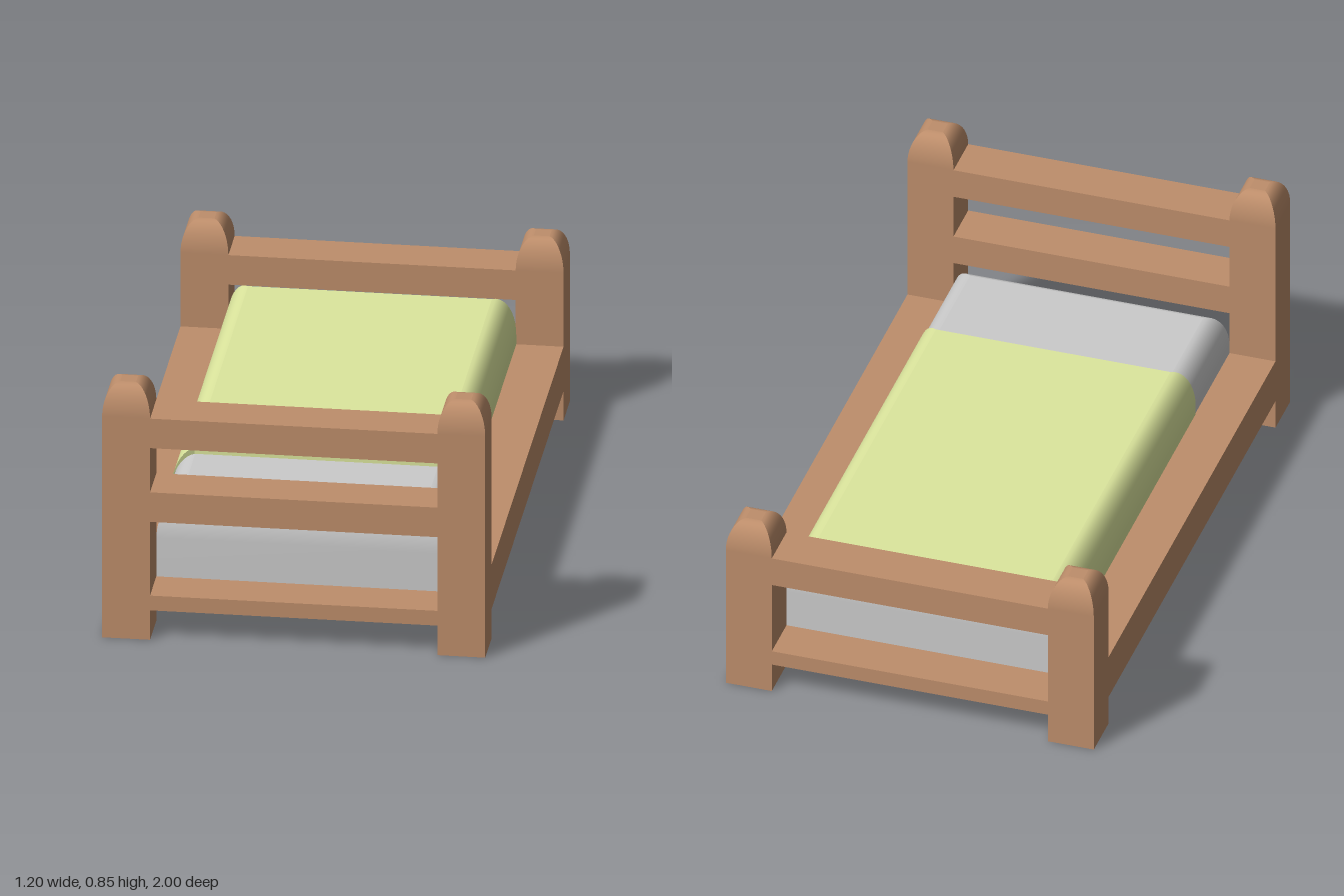
import * as THREE from 'three';
import { mergeGeometries } from 'three/addons/utils/BufferGeometryUtils.js';

const wood = new THREE.MeshStandardMaterial({ color: 0xbe8e6b });
const grey = new THREE.MeshStandardMaterial({ color: 0xcccccc });
const green = new THREE.MeshStandardMaterial({ color: 0xdde79e, side: THREE.DoubleSide });

// Surface between rows of points, smooth inside, hard at its borders
function loft(rows) {
  const n = rows[0].length, index = [];
  for (let r = 0; r < rows.length - 1; r++) {
    for (let i = 0; i < n - 1; i++) {
      const a = r * n + i, b = a + 1, c = b + n, d = a + n;
      index.push(a, b, c, a, c, d);
    }
  }
  const g = new THREE.BufferGeometry();
  g.setAttribute('position', new THREE.Float32BufferAttribute(rows.flat(2), 3));
  g.setIndex(index);
  g.computeVertexNormals();
  return g;
}

// Quarter ellipse: inset 0..1 and rise 0..1, from shoulder to top
const ARC = Array.from({ length: 11 }, (_, i) => {
  const t = (i / 10) * Math.PI / 2;
  return [1 - Math.cos(t), Math.sin(t)];
});

// Box with its top rounded on four sides that meet in mitred corners
function domedBox(w, d, y0, shoulder, top, insetX, insetZ) {
  const levels = [[0, y0], ...ARC.map(([k, h]) => [k, shoulder + h * (top - shoulder)])];
  const corners = [[-1, 1], [1, 1], [1, -1], [-1, -1]];
  const point = ([sx, sz], [k, y]) => [sx * (w / 2 - k * insetX), y, sz * (d / 2 - k * insetZ)];
  const cap = (level, o) => loft([
    [point(corners[o[0]], level), point(corners[o[1]], level)],
    [point(corners[o[2]], level), point(corners[o[3]], level)],
  ]);
  const parts = corners.map((c, i) =>
    loft(levels.map((l) => [point(c, l), point(corners[(i + 1) % 4], l)])));
  parts.push(cap(levels[levels.length - 1], [0, 1, 3, 2]), cap(levels[0], [3, 2, 0, 1]));
  return mergeGeometries(parts);
}

// Open cover over the top and sides, with narrow lips at both ends
function blanketGeometry() {
  const w = 0.452, inset = 0.07, shoulder = 0.28, top = 0.42, under = 0.4;
  const side = [[0, 0.15, 0.15], ...ARC.map(([k, h]) =>
    [k, shoulder + h * (top - shoulder), shoulder + h * (under - shoulder)])];
  const left = side.map(([k, y, u]) => [-w + k * inset, y, u, k]);
  const right = side.map(([k, y, u]) => [w - k * inset, y, u, k]).reverse();
  const front = ([x, y, , k]) => [x, y, 0.5 - 0.04 * k];
  const back = ([x, y, , k]) => [x, y, -0.852 + 0.05 * k];
  const lowered = ([x, , u, k]) => [x, u, 0, k];
  const parts = [];
  for (const section of [left, [left[left.length - 1], right[0]], right]) {
    const inner = section.map(lowered);
    parts.push(loft([section.map(front), section.map(back)]));
    parts.push(loft([inner.map(front), section.map(front)]));
    parts.push(loft([section.map(back), inner.map(back)]));
  }
  return mergeGeometries(parts);
}

export function createModel() {
  const bed = new THREE.Group();
  bed.name = 'bed';
  const add = (name, geometry, material, x = 0, y = 0, z = 0) => {
    const mesh = new THREE.Mesh(geometry, material);
    mesh.name = name;
    mesh.position.set(x, y, z);
    bed.add(mesh);
  };
  const box = (name, w, h, d, x, y, z) => add(name, new THREE.BoxGeometry(w, h, d), wood, x, y, z);

  // Posts (tall at the head end) and side rails
  for (const s of [1, -1]) {
    const label = s > 0 ? 'left' : 'right';
    add(label + 'HeadPost', domedBox(0.15, 0.15, 0, 0.75, 0.85, 0.05, 0.05), wood, s * 0.525, 0, 0.925);
    add(label + 'FootPost', domedBox(0.15, 0.15, 0, 0.5, 0.6, 0.05, 0.05), wood, s * 0.525, 0, -0.925);
    box(label + 'SideRail', 0.15, 0.15, 1.7, s * 0.525, 0.175, 0);
  }

  // Base board and cross rails
  box('baseBoard', 0.9, 0.05, 2, 0, 0.125, 0);
  box('headTopRail', 0.9, 0.1, 0.15, 0, 0.7, 0.925);
  box('headLowerRail', 0.9, 0.1, 0.15, 0, 0.45, 0.925);
  box('footRail', 0.9, 0.1, 0.15, 0, 0.45, -0.925);

  // Bedding
  add('mattress', domedBox(0.9, 1.7, 0.15, 0.28, 0.4, 0.07, 0.05), grey);
  add('blanket', blanketGeometry(), green);
  return bed;
}
